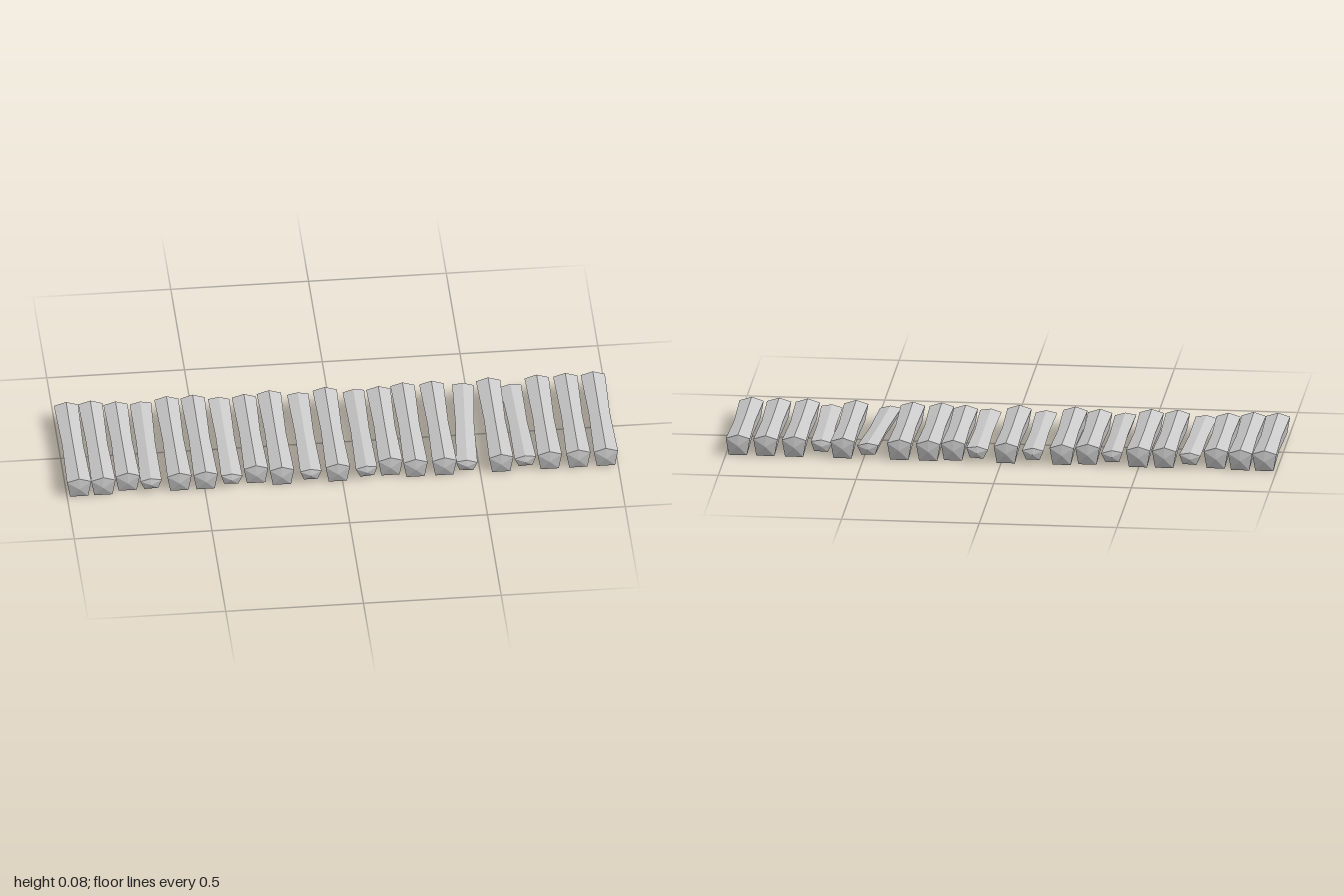
import * as THREE from 'three';

const material = new THREE.MeshStandardMaterial({ color: 0xcccccc, flatShading: true, side: THREE.DoubleSide });

// Pentagon outlines, anticlockwise seen from the front
const THICK = [[0, 0.077], [-0.044, 0.063], [-0.033, 0.001], [0.033, 0.001], [0.044, 0.063]];
const THIN = [[0, 0.06], [-0.039, 0.051], [-0.025, 0.017], [0.025, 0.017], [0.039, 0.051]];

// Rough-hewn log: waisted in the middle, with a shallow point at each end
function logGeometry(outline, back, front) {
  const midY = 0.037;
  const stations = [[back, 1], [(back + front) / 2, 0.87], [front, 1]];
  const n = outline.length;
  const pos = [];
  const index = [];
  for (const [z, s] of stations) {
    for (const [x, y] of outline) pos.push(x * s, midY + (y - midY) * s, z);
  }
  const backTip = pos.length / 3;
  pos.push(0, midY, back - 0.009, 0, midY, front + 0.009);
  for (let i = 0; i < n; i++) {
    const j = (i + 1) % n;
    for (let r = 0; r < 2; r++) {
      const a = r * n + i, b = r * n + j;
      index.push(a, b, b + n, a, b + n, a + n);
    }
    index.push(backTip, j, i, backTip + 1, 2 * n + i, 2 * n + j);
  }
  const g = new THREE.BufferGeometry();
  g.setAttribute('position', new THREE.Float32BufferAttribute(pos, 3));
  g.setIndex(index);
  const flat = g.toNonIndexed();
  flat.computeVertexNormals();
  return flat;
}

export function createModel() {
  const group = new THREE.Group();
  group.name = 'logWalkway';

  // Each log: x, then optional thin, back, front, yaw, roll
  const logs = [
    { x: -0.956 }, { x: -0.868 }, { x: -0.778, back: -0.225, front: 0.22 },
    { x: -0.69, thin: true, yaw: -0.02, roll: 0.05 },
    { x: -0.592 }, { x: -0.497 }, { x: -0.403, thin: true, roll: -0.06 },
    { x: -0.312, back: -0.225, front: 0.22 }, { x: -0.22 },
    { x: -0.115, thin: true }, { x: -0.017 }, { x: 0.088, thin: true, roll: 0.08 },
    { x: 0.176, back: -0.225, front: 0.22 }, { x: 0.265 }, { x: 0.37 },
    { x: 0.467, thin: true, yaw: -0.07, roll: -0.05 },
    { x: 0.576 }, { x: 0.66, thin: true, back: -0.215, front: 0.232, yaw: 0.02, roll: 0.06 },
    { x: 0.752 }, { x: 0.856 }, { x: 0.956 },
  ];

  logs.forEach(({ x, thin = false, back = -0.239, front = 0.239, yaw = 0, roll = 0 }, i) => {
    const geometry = logGeometry(thin ? THIN : THICK, back, front);
    // Roll about the log's own axis
    geometry.translate(0, -0.037, 0).rotateZ(roll).translate(0, 0.037, 0);
    const log = new THREE.Mesh(geometry, material);
    log.name = `${thin ? 'thin' : 'thick'}Log${i + 1}`;
    log.position.x = x;
    log.rotation.y = yaw;
    group.add(log);
  });

  return group;
}
